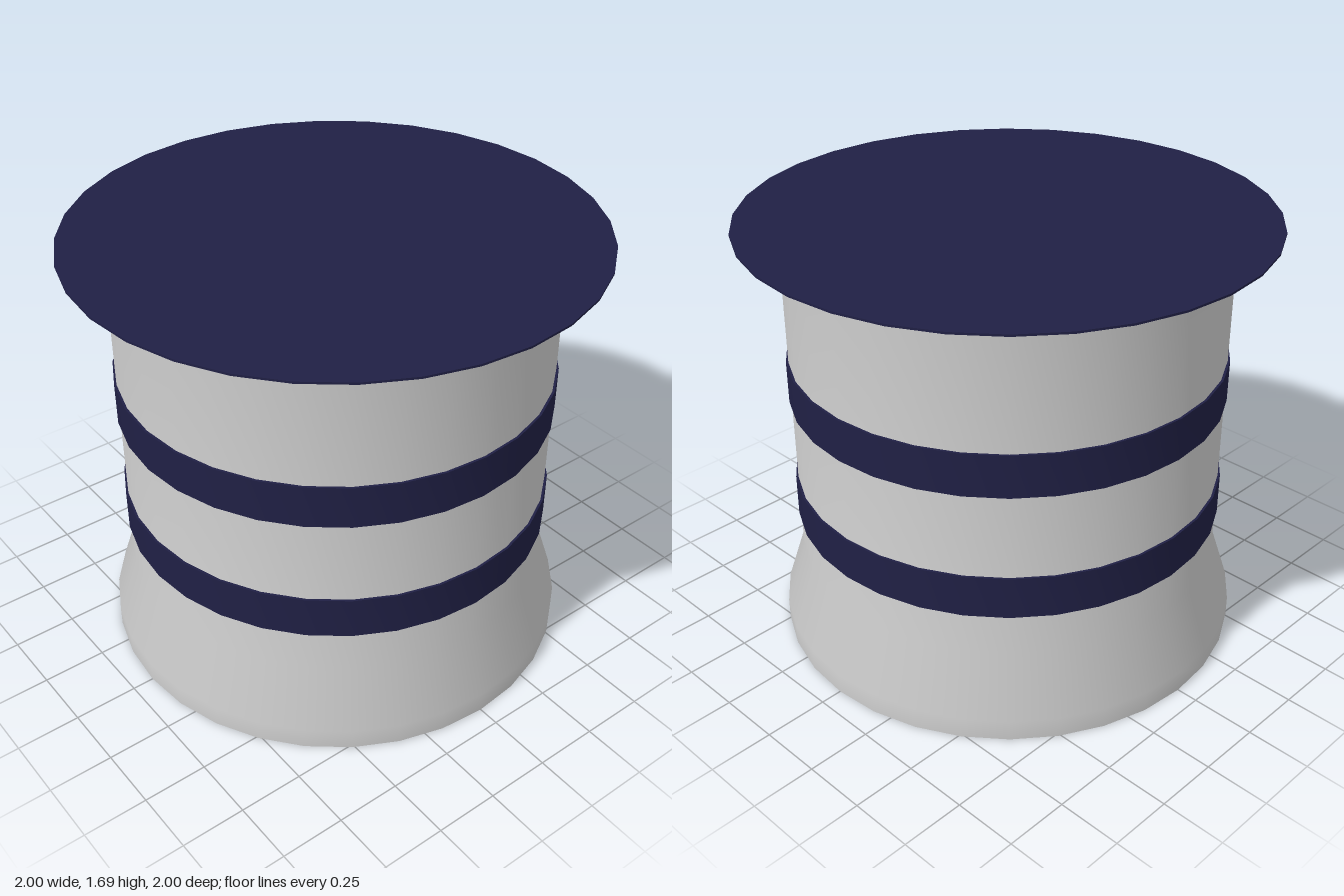
import * as THREE from 'three';
import { toCreasedNormals } from 'three/addons/utils/BufferGeometryUtils.js';

const SIDES = 32;
const grey = new THREE.MeshStandardMaterial({ color: 0xcccccc });
const navy = new THREE.MeshStandardMaterial({ color: 0x202045 });

// Turned part from a [radius, height] profile running bottom to top
function turned(name, profile, material) {
  const points = profile.map(([r, y]) => new THREE.Vector2(r, y));
  const geometry = toCreasedNormals(new THREE.LatheGeometry(points, SIDES), 0.5);
  const mesh = new THREE.Mesh(geometry, material);
  mesh.name = name;
  return mesh;
}

export function createModel() {
  const model = new THREE.Group();
  model.name = 'bandedDrum';

  // Drum with a flared foot, closed at both ends
  model.add(turned('body', [
    [0, 0], [0.915, 0], [0.915, 0.083], [0.833, 0.333], [0.833, 1.67], [0, 1.67],
  ], grey));

  // Two raised bands around the drum
  [['lowerBand', 0.5], ['upperBand', 1.0]].forEach(([name, y]) => {
    model.add(turned(name, [
      [0.825, y], [0.842, y], [0.842, y + 0.167], [0.825, y + 0.167],
    ], navy));
  });

  // Thin overhanging lid, its underside rising slightly to the rim
  model.add(turned('lid', [
    [0, 1.668], [0.833, 1.668], [1, 1.68], [1, 1.688], [0, 1.688],
  ], navy));

  return model;
}
